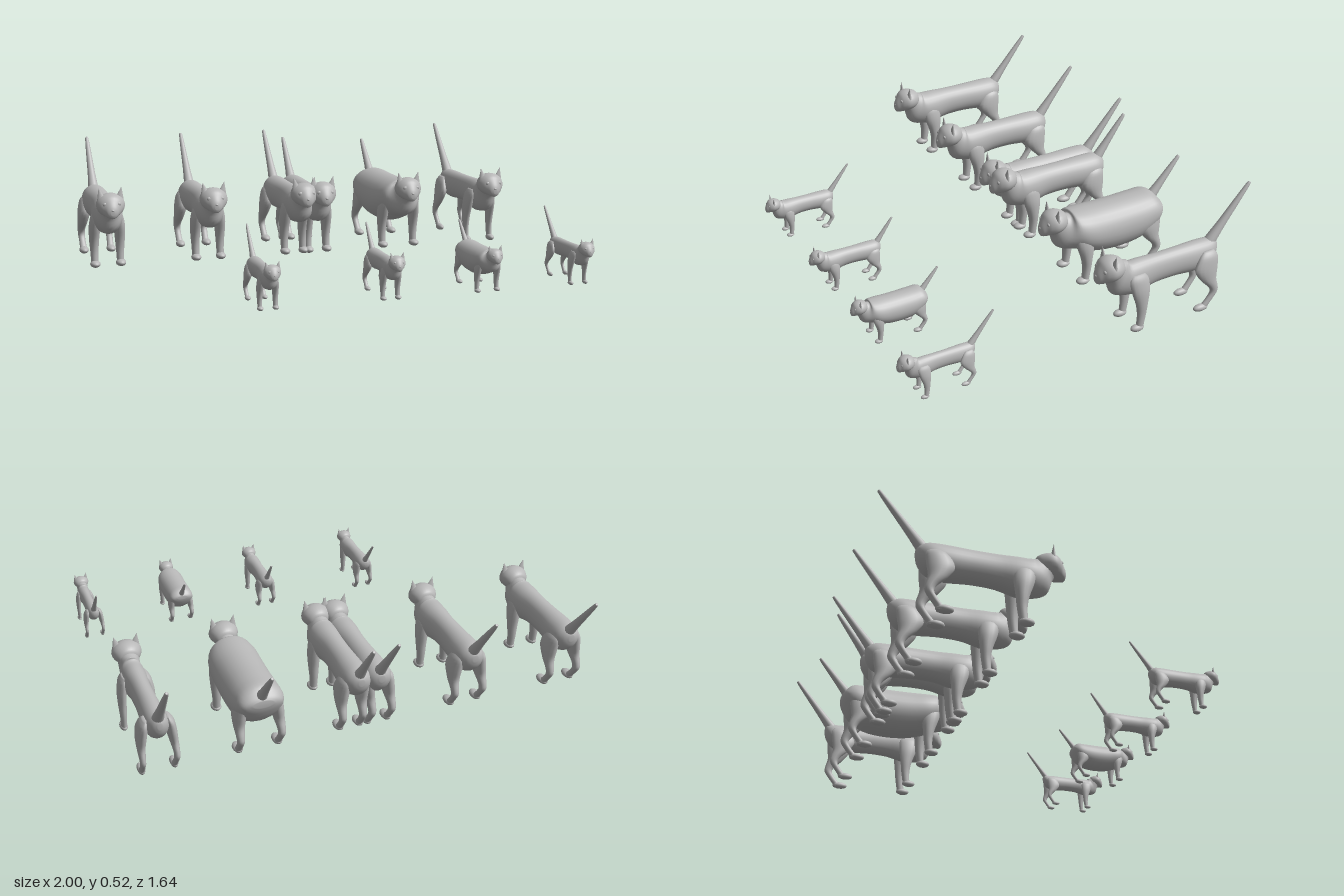
import * as THREE from 'three';

const fur = new THREE.MeshStandardMaterial({ color: 0xb8b8b8 });
fur.name = 'grey fur';

// Smooth interpolation of one number through four neighbours
function spline(a, b, c, d, t) {
  return b + 0.5 * t * (c - a + t * (2 * a - 5 * b + 4 * c - d + t * (3 * (b - c) + d - a)));
}

// Skin over elliptical rings: [x, y, z, half width, half height, tilt in degrees].
// A tilt of 0 is an upright ring facing +z, 90 a level ring facing down.
function loft(stations, steps = 4, sides = 20) {
  const rings = [];
  const last = stations.length - 1;
  for (let i = 0; i < last; i++) {
    const p = [i - 1, i, i + 1, i + 2].map(k => stations[Math.min(last, Math.max(0, k))]);
    for (let s = 0; s < steps; s++) {
      rings.push(p[1].map((_, k) => spline(p[0][k], p[1][k], p[2][k], p[3][k], s / steps)));
    }
  }
  rings.push(stations[last]);
  const pos = [], index = [];
  for (const [x, y, z, rx, rv, tilt] of rings) {
    const t = THREE.MathUtils.degToRad(tilt);
    for (let j = 0; j < sides; j++) {
      const a = j / sides * Math.PI * 2;
      const v = rv * Math.sin(a);
      pos.push(x + rx * Math.cos(a), y + v * Math.cos(t), z + v * Math.sin(t));
    }
  }
  const end = rings.length - 1;
  for (let i = 0; i < end; i++) {
    for (let j = 0; j < sides; j++) {
      const a = i * sides + j, b = i * sides + (j + 1) % sides;
      index.push(a, b, b + sides, a, b + sides, a + sides);
    }
  }
  // Close both ends
  const first = rings[0], tip = rings[end], n = rings.length * sides;
  pos.push(first[0], first[1], first[2], tip[0], tip[1], tip[2]);
  for (let j = 0; j < sides; j++) {
    const k = (j + 1) % sides;
    index.push(n, k, j, n + 1, end * sides + j, end * sides + k);
  }
  const geo = new THREE.BufferGeometry();
  geo.setAttribute('position', new THREE.Float32BufferAttribute(pos, 3));
  geo.setIndex(index);
  geo.computeVertexNormals();
  return geo;
}

function add(group, name, geo, x = 0, y = 0, z = 0) {
  const mesh = new THREE.Mesh(geo, fur);
  mesh.name = name;
  mesh.position.set(x, y, z);
  group.add(mesh);
  return mesh;
}

const ball = (rx, ry, rz) => new THREE.SphereGeometry(1, 18, 12).scale(rx, ry, rz);

// Trunk: z, top, bottom, half width, then added width and belly drop when fat
const trunk = [
  [-0.668, 0.285, 0.255, 0.012, 0.03, 0],
  [-0.655, 0.303, 0.22, 0.038, 0.042, 0],
  [-0.62, 0.318, 0.185, 0.06, 0.042, 0.02],
  [-0.55, 0.32, 0.172, 0.064, 0.046, 0.05],
  [-0.45, 0.318, 0.178, 0.058, 0.053, 0.07],
  [-0.35, 0.318, 0.174, 0.058, 0.053, 0.06],
  [-0.27, 0.32, 0.156, 0.067, 0.042, 0.02],
  [-0.22, 0.32, 0.158, 0.067, 0.028, 0],
];

function makeCat({ fat = 0, slim = 1, rise = 0, legX = 0, legW = 1, tail = [0.52, -0.82] }) {
  const cat = new THREE.Group();

  // Trunk running on into the neck
  const body = trunk.map(([z, top, bottom, w, wide, drop], i) => {
    const t = top + (i > 1 ? rise : 0), b = bottom - drop * fat;
    return [0, (t + b) / 2, z, w * slim + wide * fat, (t - b) / 2, 0];
  });
  body.push(
    [0, 0.251, -0.182, 0.057 * slim + 0.012 * fat, 0.078, -25],
    [0, 0.28, -0.163, 0.045, 0.058, -40],
    [0, 0.3, -0.138, 0.042, 0.046, -40]);
  add(cat, 'body', loft(body, 4, 28));

  // Head with a tapering muzzle
  add(cat, 'head', loft([
    [0, 0.305, -0.194, 0.012, 0.012, 0],
    [0, 0.305, -0.184, 0.04, 0.036, 0],
    [0, 0.306, -0.155, 0.059, 0.049, 0],
    [0, 0.304, -0.125, 0.063, 0.052, 0],
    [0, 0.298, -0.1, 0.05, 0.047, 0],
    [0, 0.287, -0.085, 0.034, 0.038, 0],
    [0, 0.278, -0.073, 0.022, 0.026, 0],
    [0, 0.276, -0.067, 0.008, 0.011, 0],
  ], 4, 24));
  add(cat, 'nose', ball(0.008, 0.006, 0.006), 0, 0.288, -0.071);

  // Tail from tip to root
  const [ty, tz] = tail;
  const along = (f, r) => [0, 0.275 + (ty - 0.275) * f, -0.625 + (tz + 0.625) * f, r, r, 50];
  add(cat, 'tail', loft([along(1, 0.003), along(0.97, 0.008), along(0.7, 0.013),
    along(0.35, 0.018), along(0.1, 0.024), along(0, 0.026)], 4, 14));

  for (const [side, s] of [['left', 1], ['right', -1]]) {
    // Ears, eyes
    const ear = add(cat, side + 'Ear',
      new THREE.ConeGeometry(0.022, 0.06, 14).scale(1, 1, 0.5), s * 0.044, 0.354, -0.13);
    ear.rotation.z = -s * 0.2;
    add(cat, side + 'Eye', ball(0.011, 0.009, 0.006), s * 0.029, 0.313, -0.092);

    // Legs from shoulder or hip to ankle
    const leg = list => loft(list.map(([x, y, z, rx, rz]) =>
      [s * (x + legX), y, z, rx * legW, rz, 90]), 4, 16);
    add(cat, side + 'FrontLeg', leg([
      [0.04, 0.265, -0.25, 0.012, 0.03],
      [0.047, 0.24, -0.25, 0.023, 0.045],
      [0.055, 0.19, -0.255, 0.026, 0.042],
      [0.058, 0.13, -0.262, 0.023, 0.028],
      [0.058, 0.08, -0.264, 0.019, 0.021],
      [0.058, 0.035, -0.26, 0.017, 0.018],
      [0.058, 0.008, -0.256, 0.016, 0.018],
    ]));
    add(cat, side + 'FrontPaw', ball(0.023 * legW, 0.016, 0.032), s * (0.058 + legX), 0.017, -0.247);

    add(cat, side + 'HindLeg', leg([
      [0.042, 0.275, -0.6, 0.01, 0.025],
      [0.05, 0.25, -0.595, 0.024, 0.046],
      [0.057, 0.2, -0.583, 0.029, 0.056],
      [0.063, 0.15, -0.595, 0.024, 0.038],
      [0.066, 0.11, -0.62, 0.018, 0.023],
      [0.066, 0.082, -0.626, 0.016, 0.018],
      [0.065, 0.05, -0.606, 0.015, 0.017],
      [0.064, 0.025, -0.586, 0.016, 0.018],
      [0.064, 0.008, -0.58, 0.016, 0.018],
    ]));
    add(cat, side + 'HindPaw', ball(0.022 * legW, 0.016, 0.036), s * (0.064 + legX), 0.017, -0.566);
  }
  return cat;
}

export function createModel() {
  const model = new THREE.Group();
  model.name = 'catFamily';

  // Builds of cat
  const plain = {};
  const shortTail = { tail: [0.485, -0.78] };
  const stout = { fat: 1, rise: 0.015, legX: 0.022, tail: [0.46, -0.78] };
  const lean = { slim: 0.78, rise: -0.012, legX: 0.004, legW: 0.75 };

  // Row of adults behind
  const adults = [[-0.914, plain], [-0.45, plain], [-0.022, plain],
    [0.068, shortTail], [0.492, stout], [0.917, lean]];
  adults.forEach(([x, build], i) => {
    const cat = makeCat(build);
    cat.name = 'adultCat' + (i + 1);
    cat.position.x = x;
    model.add(cat);
  });

  // Row of kittens in front
  const kittens = [[-0.44, plain], [0.076, shortTail], [0.505, stout], [0.927, lean]];
  kittens.forEach(([x, build], i) => {
    const cat = makeCat(build);
    cat.name = 'kitten' + (i + 1);
    cat.scale.setScalar(0.55);
    cat.position.set(x, 0.004, 0.856);
    model.add(cat);
  });
  return model;
}
